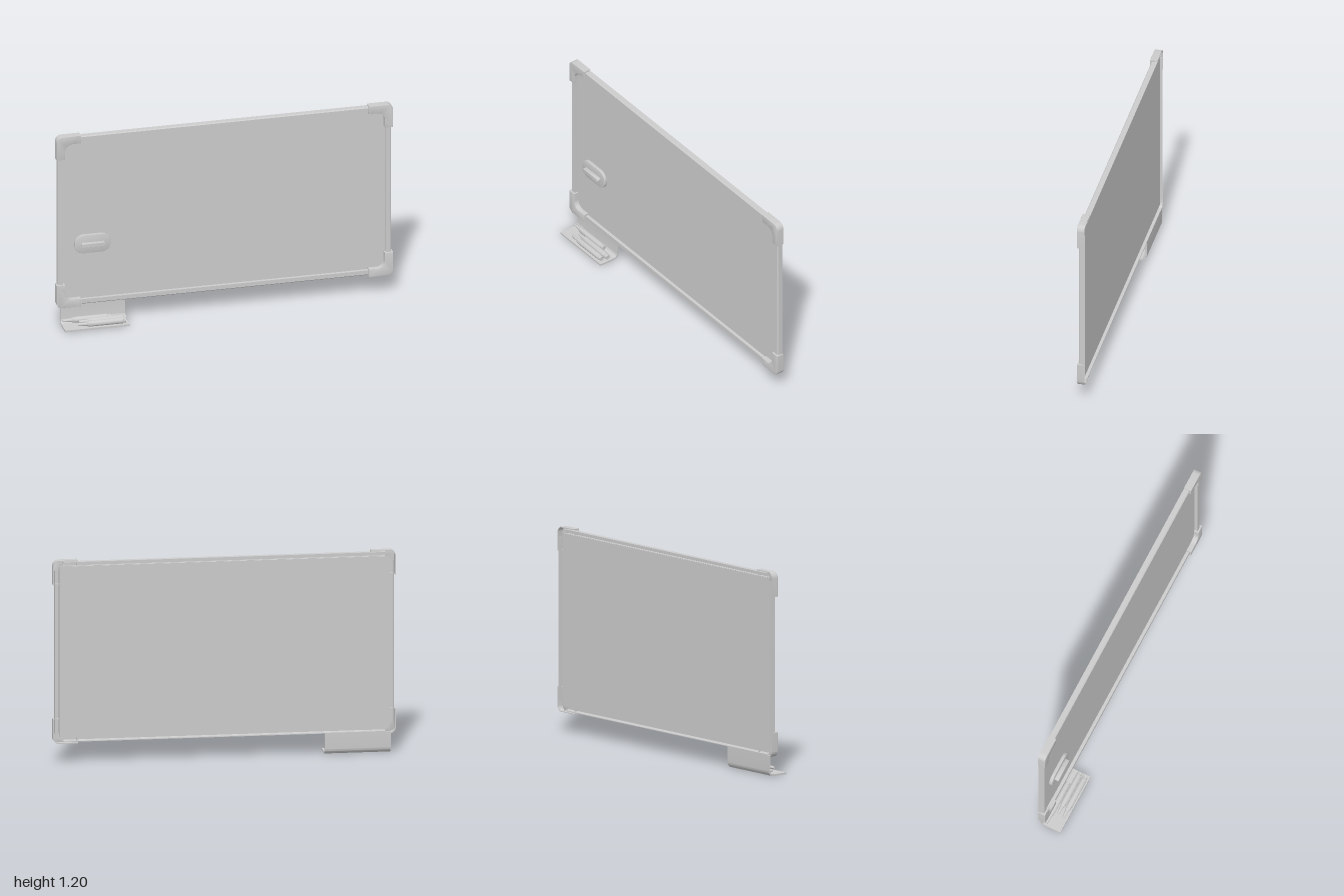
import * as THREE from 'three';
import { toCreasedNormals } from 'three/addons/utils/BufferGeometryUtils.js';

const material = new THREE.MeshStandardMaterial({ color: 0xcccccc, side: THREE.DoubleSide });
const CY = 0.6575;            // height of the board's middle
const HW = 1, HH = 0.5425;    // half extents over the corner caps
const ARM = 0.145;            // length of a corner cap's arms

function mesh(name, geometry, parent) {
  const m = new THREE.Mesh(geometry, material);
  m.name = name;
  parent.add(m);
  return m;
}

// Extrudes a shape from z0 to z1, with an optional bevel kept inside the outline
function slab(shape, z0, z1, bevel = 0) {
  const g = new THREE.ExtrudeGeometry(shape, {
    depth: z1 - z0 - 2 * bevel, curveSegments: 10, bevelEnabled: bevel > 0,
    bevelThickness: bevel, bevelSize: bevel, bevelOffset: -bevel, bevelSegments: 2,
  });
  g.translate(0, 0, z0 + bevel);
  return toCreasedNormals(g, 0.6);
}

function polygon(points) {
  return new THREE.Shape(points.map(([x, y]) => new THREE.Vector2(x, y)));
}

function roundedRect(w, h, r) {
  const s = new THREE.Shape();
  s.absarc(w / 2 - r, h / 2 - r, r, 0, Math.PI / 2);
  s.absarc(-w / 2 + r, h / 2 - r, r, Math.PI / 2, Math.PI);
  s.absarc(-w / 2 + r, -h / 2 + r, r, Math.PI, Math.PI * 1.5);
  s.absarc(w / 2 - r, -h / 2 + r, r, Math.PI * 1.5, Math.PI * 2);
  s.closePath();
  return s;
}

// L-shaped cap outline, its outer corner at the origin, shrunk by t
function capShape(t) {
  const r = 0.035, w = 0.05, f = 0.045;
  const s = new THREE.Shape();
  s.moveTo(-ARM + t, -t);
  s.lineTo(-r, -t);
  s.absarc(-r, -r, r - t, Math.PI / 2, 0, true);
  s.lineTo(-t, -ARM + t);
  s.lineTo(-w + t, -ARM + t);
  s.lineTo(-w + t, -w - f);
  s.absarc(-w - f, -w - f, f + t, 0, Math.PI / 2);
  s.lineTo(-ARM + t, -w + t);
  s.closePath();
  return s;
}

// Hollow corner cap: front plate, inner wall with closed ends, deep outer wall
function cornerCap() {
  const cap = new THREE.Group();
  cap.name = 'cornerCap';
  mesh('capFront', slab(capShape(0), -0.032, -0.02, 0.003), cap);
  const ring = capShape(0);
  ring.holes.push(capShape(0.005));
  mesh('capWalls', slab(ring, -0.05, -0.026), cap);
  const r = 0.035, t = 0.005;
  const s = new THREE.Shape();
  s.moveTo(-ARM, 0);
  s.lineTo(-r, 0);
  s.absarc(-r, -r, r, Math.PI / 2, 0, true);
  s.lineTo(0, -ARM);
  s.lineTo(-t, -ARM);
  s.lineTo(-t, -r);
  s.absarc(-r, -r, r - t, 0, Math.PI / 2);
  s.lineTo(-ARM, -t);
  s.closePath();
  mesh('capOuterWall', slab(s, -0.065, -0.026), cap);
  return cap;
}

// Open-backed channel running along y, outer face at x = 0
function rail(length) {
  const profile = polygon([
    [0, -0.065], [0, -0.035], [-0.005, -0.03], [-0.03, -0.03], [-0.03, -0.05],
    [-0.026, -0.05], [-0.026, -0.034], [-0.007, -0.034], [-0.004, -0.037], [-0.004, -0.065],
  ]);
  const g = slab(profile, -length / 2, length / 2);
  g.rotateX(Math.PI / 2);
  return g;
}

// Pen with its tip toward -x, starting at x = 0
function marker() {
  const pts = [[0, 0], [0.006, 0], [0.008, 0.006], [0.011, 0.05], [0.015, 0.055], [0.016, 0.075],
    [0.0175, 0.08], [0.0175, 0.262], [0.014, 0.264], [0.014, 0.28], [0, 0.28]];
  const g = new THREE.LatheGeometry(pts.map(([r, y]) => new THREE.Vector2(r, y)), 20);
  g.rotateZ(-Math.PI / 2);
  return toCreasedNormals(g, 0.6);
}

export function createModel() {
  const model = new THREE.Group();
  model.name = 'whiteboard';

  // Writing panel
  mesh('panel', new THREE.BoxGeometry(1.92, 1.01, 0.006), model).position.set(0, CY, -0.052);

  // Frame: a rail and a corner cap for each quarter turn
  for (let k = 0; k < 4; k++) {
    const a = k * Math.PI / 2, along = k % 2 === 0;
    const reach = along ? HW - 0.01 : HH - 0.01;
    const length = 2 * (along ? HH : HW) - 0.12;
    const r = mesh('frameRail', rail(length), model);
    r.rotation.z = a;
    r.position.set(Math.cos(a) * reach, CY + Math.sin(a) * reach, 0);
    const cap = cornerCap();
    cap.rotation.z = a;
    cap.position.set(k === 0 || k === 3 ? HW : -HW, CY + (k < 2 ? HH : -HH), 0);
    model.add(cap);
  }

  // Eraser with a raised grip
  const eraser = new THREE.Group();
  eraser.name = 'eraser';
  eraser.position.set(-0.782, 0.502, 0);
  mesh('eraserBody', slab(roundedRect(0.215, 0.115, 0.055), -0.05, -0.031, 0.002), eraser);
  mesh('eraserGrip', slab(roundedRect(0.145, 0.024, 0.0118), -0.032, -0.006, 0.002), eraser);
  model.add(eraser);

  // Bent pen tray, profile drawn in (-z, y) and extruded along x
  const tray = new THREE.Shape();
  tray.moveTo(-0.065, 0);
  tray.lineTo(0.03, 0);
  tray.absarc(0.03, 0.035, 0.035, -Math.PI / 2, 0);
  tray.lineTo(0.065, 0.125);
  tray.lineTo(0.054, 0.125);
  tray.lineTo(0.054, 0.035);
  tray.absarc(0.03, 0.035, 0.024, 0, -Math.PI / 2, true);
  tray.lineTo(-0.065, 0.011);
  tray.closePath();
  const trayGeometry = slab(tray, 0, 0.385);
  trayGeometry.rotateY(Math.PI / 2);
  mesh('penTray', trayGeometry, model).position.x = -0.97;

  // Three markers lying on the tray
  for (const [x, z] of [[-0.885, 0.041], [-0.875, 0.004], [-0.96, -0.032]]) {
    mesh('marker', marker(), model).position.set(x, 0.029, z);
  }
  return model;
}
